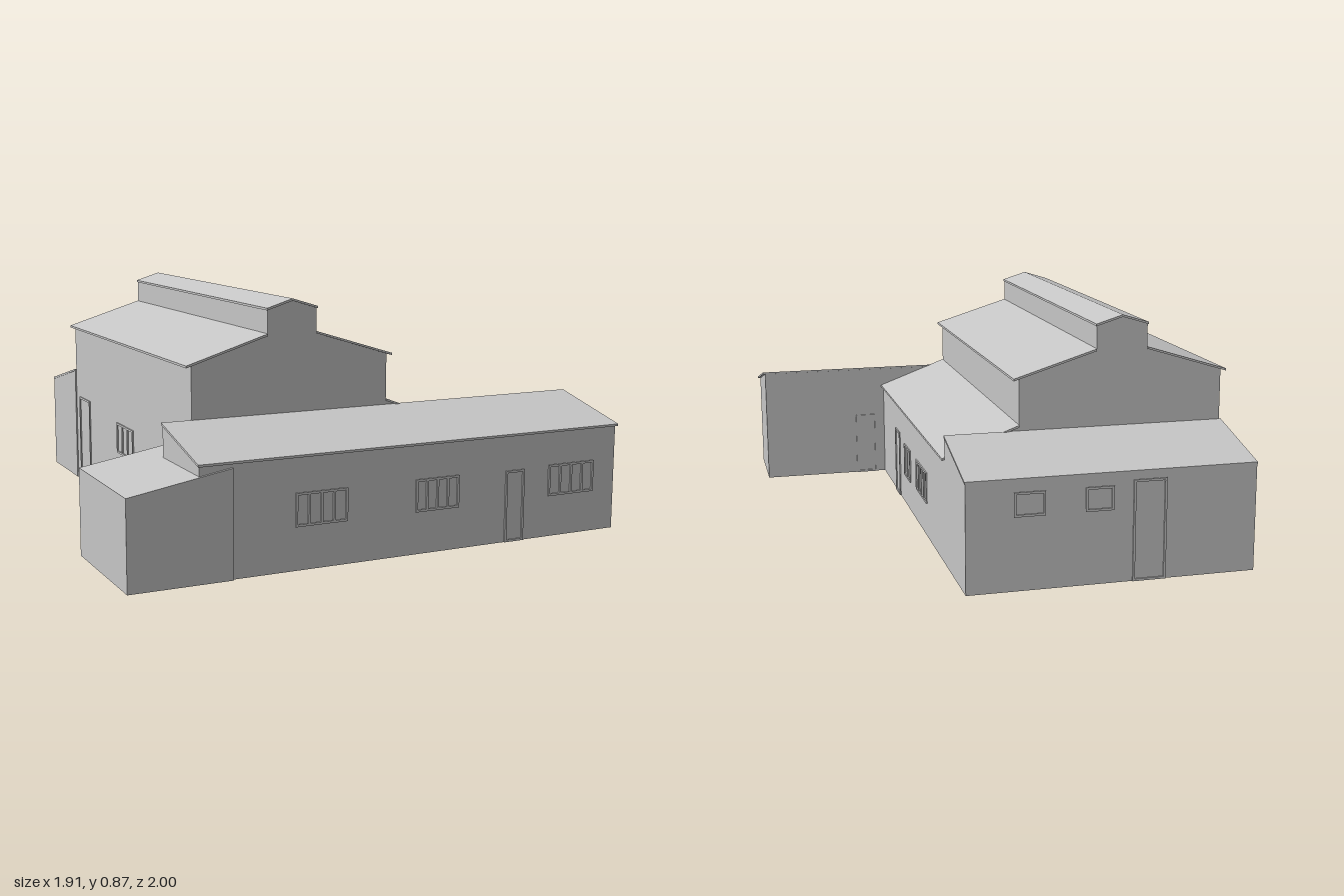
import * as THREE from 'three';

export function createModel() {
  const model = new THREE.Group();
  const grey = new THREE.MeshStandardMaterial({ color: 0xc6c6c6, side: THREE.DoubleSide });
  grey.name = 'plainGrey';

  const add = (name, geometry, parent = model) => {
    const mesh = new THREE.Mesh(geometry, grey);
    mesh.name = name;
    parent.add(mesh);
    return mesh;
  };

  // Prism with a section in (x, y), running along z
  const alongZ = (points, z0, z1) => {
    const shape = new THREE.Shape(points.map(([x, y]) => new THREE.Vector2(x, y)));
    return new THREE.ExtrudeGeometry(shape, { depth: z1 - z0, bevelEnabled: false }).translate(0, 0, z0);
  };
  // Prism with a section in (z, y), running along x
  const alongX = (points, x0, x1) =>
    alongZ(points.map(([z, y]) => [-z, y]), x0, x1).rotateY(Math.PI / 2);

  // Thin roof sheet section between two points
  const sheet = ([ax, ay], [bx, by], t = 0.008) => [[ax, ay - t], [bx, by - t], [bx, by], [ax, ay]];

  // Remove the floor of a prism
  const openBelow = (geometry) => {
    const p = geometry.attributes.position, kept = [];
    for (let i = 0; i < p.count; i += 3) {
      if ([0, 1, 2].every((k) => Math.abs(p.getY(i + k)) < 1e-6)) continue;
      for (let k = 0; k < 3; k++) kept.push(p.getX(i + k), p.getY(i + k), p.getZ(i + k));
    }
    const open = new THREE.BufferGeometry();
    open.setAttribute('position', new THREE.Float32BufferAttribute(kept, 3));
    open.computeVertexNormals();
    return open;
  };

  // Main hall with lean-to aisle and raised roof monitor
  add('mainHall', alongZ([
    [-0.6, 0], [0.43, 0], [0.43, 0.385], [0.16, 0.485], [0.16, 0.658], [-0.125, 0.746],
    [-0.125, 0.84], [-0.22, 0.87], [-0.315, 0.84], [-0.315, 0.746], [-0.6, 0.658],
  ], -0.67, 0.66));
  const hallRoof = (name, a, b) => add(name, alongZ(sheet(a, b), -0.675, 0.665));
  hallRoof('leftHallRoof', [-0.62, 0.66], [-0.315, 0.754]);
  hallRoof('rightHallRoof', [-0.125, 0.754], [0.18, 0.66]);
  hallRoof('aisleRoof', [0.16, 0.493], [0.44, 0.39]);
  hallRoof('monitorLeftRoof', [-0.318, 0.843], [-0.22, 0.873]);
  hallRoof('monitorRightRoof', [-0.22, 0.873], [-0.122, 0.843]);

  // Front and rear wings with single-pitch roofs
  add('frontWing', alongX([[0.985, 0], [0.985, 0.387], [0.66, 0.466], [0.66, 0]], -0.705, 0.945));
  add('frontWingRoof', alongX(sheet([0.99, 0.392], [0.658, 0.472]), -0.71, 0.955));
  add('rearWing', alongX([[-1, 0], [-1, 0.387], [-0.67, 0.468], [-0.67, 0]], -0.605, 0.43));
  add('rearWingRoof', alongX(sheet([-1, 0.392], [-0.67, 0.472]), -0.607, 0.432));

  // Low annex at the front corner, open below
  add('annex', openBelow(alongZ([[-0.955, 0], [-0.59, 0], [-0.59, 0.372], [-0.955, 0.31]], 0.51, 0.995)));

  // Framed opening: a surround with upright bars, laid on a wall
  const walls = {
    front: (c) => [c, 0.985, 0],
    rearOfFront: (c) => [c, 0.66, Math.PI],
    back: (c) => [c, -1, Math.PI],
    right: (c) => [0.43, c, Math.PI / 2],
    left: (c) => [-0.6, c, -Math.PI / 2],
  };
  const opening = (name, wall, c0, c1, y0, y1, panes) => {
    const w = c1 - c0, h = y1 - y0, f = 0.008;
    const rect = (Type, x, y, rw, rh) => new Type([[x, y], [x + rw, y], [x + rw, y + rh], [x, y + rh]]
      .map(([u, v]) => new THREE.Vector2(u, v)));
    const shape = rect(THREE.Shape, -w / 2, 0, w, h);
    const pw = (w - f * (panes + 1)) / panes;
    for (let i = 0; i < panes; i++) {
      shape.holes.push(rect(THREE.Path, -w / 2 + f + i * (pw + f), f, pw, h - 2 * f));
    }
    const frame = add(name, new THREE.ExtrudeGeometry(shape, { depth: 0.005, bevelEnabled: false }));
    const [x, z, turn] = walls[wall]((c0 + c1) / 2);
    frame.position.set(x, y0, z);
    frame.rotation.y = turn;
  };

  // Windows
  [
    ['front', -0.365, -0.17, 0.15, 0.265, 4], ['front', 0.095, 0.27, 0.15, 0.265, 4],
    ['front', 0.65, 0.85, 0.15, 0.265, 4],
    ['right', -0.34, -0.13, 0.13, 0.25, 4], ['right', 0, 0.13, 0.12, 0.25, 2],
    ['back', 0.155, 0.265, 0.26, 0.345, 1], ['back', -0.085, 0.015, 0.26, 0.345, 1],
    ['left', -0.95, -0.73, 0.27, 0.35, 3], ['left', -0.13, 0.06, 0.21, 0.33, 3],
  ].forEach((spec) => opening('window', ...spec));

  // Doors
  [
    ['front', 0.465, 0.545, 0, 0.26, 1], ['rearOfFront', 0.465, 0.555, 0, 0.26, 1],
    ['right', 0.24, 0.34, 0, 0.27, 1], ['back', -0.275, -0.155, 0, 0.36, 1],
    ['left', -0.62, -0.48, 0, 0.36, 1],
  ].forEach((spec) => opening('door', ...spec));

  return model;
}
